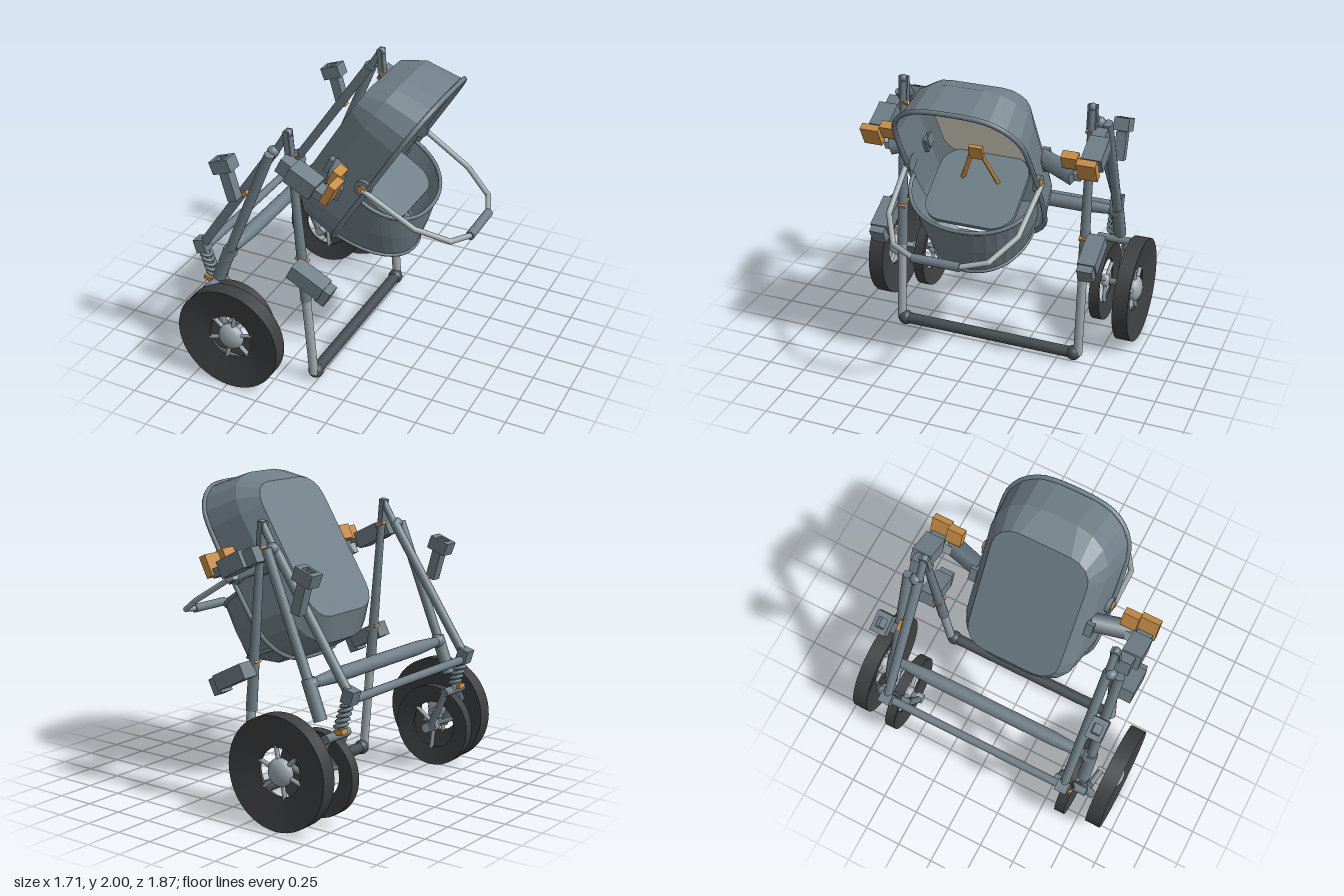
import * as THREE from 'three';
import { toCreasedNormals } from 'three/addons/utils/BufferGeometryUtils.js';

const paint = (name, color, side = THREE.FrontSide) => {
  const m = new THREE.MeshStandardMaterial({ color, side });
  m.name = name;
  return m;
};
const slate = paint('slate', 0x6f7e87, THREE.DoubleSide);
const steel = paint('light steel', 0x9ea8ad);
const rubber = paint('rubber', 0x3e3f41);
const dark = paint('dark tube', 0x454d52);
const orange = paint('orange', 0xc68c46);
const beige = paint('beige lining', 0xe9e3d2);
const V = (x, y, z) => new THREE.Vector3(x, y, z);

function add(parent, name, geo, mat, x = 0, y = 0, z = 0) {
  const m = new THREE.Mesh(geo, mat);
  m.name = name;
  m.position.set(x, y, z);
  parent.add(m);
  return m;
}
// straight rod between two points
function rod(parent, name, a, b, r, mat, r2 = r, sides = 16) {
  const d = b.clone().sub(a);
  const m = add(parent, name, new THREE.CylinderGeometry(r2, r, d.length(), sides), mat);
  m.position.copy(a).addScaledVector(d, 0.5);
  m.quaternion.setFromUnitVectors(V(0, 1, 0), d.normalize());
  return m;
}
function block(parent, name, w, h, d, x, y, z, rot, mat) {
  const m = add(parent, name, new THREE.BoxGeometry(w, h, d), mat, x, y, z);
  m.rotation.z = rot;
  return m;
}
function ball(parent, name, r, x, y, z, mat) {
  return add(parent, name, new THREE.SphereGeometry(r, 20, 14), mat, x, y, z);
}
// faceted skin through cross-sections, with one section capped
function skin(rings, closed, cap) {
  const pos = [], n = rings[0].length;
  const tri = (...p) => p.forEach(v => pos.push(v.x, v.y, v.z));
  for (let i = 0; i < rings.length - 1; i++)
    for (let j = 0; j < (closed ? n : n - 1); j++) {
      const k = (j + 1) % n, [a, b, c, d] = [rings[i][j], rings[i][k], rings[i + 1][k], rings[i + 1][j]];
      tri(a, b, c, a, c, d);
    }
  const r = rings[cap];
  const mid = r.reduce((s, p) => s.add(p), V(0, 0, 0)).divideScalar(n);
  r.forEach((p, i) => tri(mid, r[(i + 1) % n], p));
  const g = new THREE.BufferGeometry();
  g.setAttribute('position', new THREE.Float32BufferAttribute(pos, 3));
  g.computeVertexNormals();
  return g;
}
function trim(parent, name, pts, r, closed, mat) {
  const path = new THREE.CatmullRomCurve3(pts, closed, 'centripetal');
  return add(parent, name, new THREE.TubeGeometry(path, 64, r, 8, closed), mat);
}
// rounded rectangle in the plane across the tub depth
function tubRing(n, u0, u1, w, r) {
  const pts = [], h = (u1 - u0) / 2, c = (u0 + u1) / 2;
  for (let q = 0; q < 4; q++)
    for (let i = 0; i <= 4; i++) {
      const a = (q + i / 4) * Math.PI / 2;
      const sz = q === 0 || q === 3 ? 1 : -1, su = q < 2 ? 1 : -1;
      pts.push(V(n, c + su * (h - r) + r * Math.sin(a), sz * (w - r) + r * Math.cos(a)));
    }
  return pts;
}
// D-shaped section of the footwell
function dRing(bx, by, fx, fy, hw) {
  return Array.from({ length: 17 }, (_, i) => {
    const t = Math.PI * i / 16, c = Math.cos(t), s = Math.max(0, Math.sin(t)) ** 0.9;
    return V(bx + (fx - bx) * s, by + (fy - by) * s, hw * Math.sign(c) * Math.abs(c) ** 0.9);
  });
}
function roundedPlate(w, h, r, depth) {
  const s = new THREE.Shape(), x = w / 2, y = h / 2, q = Math.PI / 2;
  s.absarc(x - r, y - r, r, 0, q);
  s.absarc(r - x, y - r, r, q, 2 * q);
  s.absarc(r - x, r - y, r, 2 * q, 3 * q);
  s.absarc(x - r, r - y, r, 3 * q, 4 * q);
  return new THREE.ExtrudeGeometry(s, { depth, bevelEnabled: false, curveSegments: 8 });
}

function makeTub() {
  // local x is the tub depth, local y runs up the backrest
  const g = new THREE.Group();
  g.name = 'tub';
  g.rotation.z = -0.5586;
  const rings = [tubRing(-0.89, 0.805, 1.753, 0.32, 0.15), tubRing(-0.757, 0.67, 1.887, 0.39, 0.27),
    tubRing(-0.51, 0.68, 1.945, 0.425, 0.3)];
  add(g, 'tubShell', skin(rings, true, 0), slate);
  trim(g, 'tubRim', rings[2], 0.016, true, slate);
  add(g, 'backLining', roundedPlate(0.6, 0.73, 0.15, 0.008).rotateY(Math.PI / 2), beige, -0.79, 1.465, 0);
  add(g, 'seat', roundedPlate(0.54, 0.6, 0.14, 0.03).rotateX(Math.PI / 2), slate, -0.52, 1.15, 0);
  return g;
}
function makeFootwell() {
  const g = new THREE.Group();
  g.name = 'footwell';
  const rings = [dRing(0.2, 1.29, 0.497, 1.103, 0.42), dRing(0.1, 1.1, 0.45, 0.94, 0.385),
    dRing(0, 0.93, 0.39, 0.775, 0.325), dRing(0, 0.845, 0.16, 0.765, 0.2)];
  add(g, 'footwellShell', skin(rings, false, 3), slate);
  trim(g, 'footwellTopRim', rings[0], 0.013, false, slate);
  trim(g, 'footwellLowerRim', rings[2], 0.012, false, slate);
  return g;
}
function makeHarness() {
  const g = new THREE.Group();
  g.name = 'harness';
  block(g, 'buckle', 0.03, 0.09, 0.09, 0.18, 1.505, 0, -0.3, orange);
  for (const s of [1, -1]) rod(g, 'strap', V(0.11, 1.28, 0.12 * s), V(0.18, 1.5, 0.03 * s), 0.016, orange, 0.016, 4);
  return g;
}
function makeWheel(name, R, hole, half, hubR, spokes) {
  const g = new THREE.Group();
  g.name = name;
  const p = [[hole, -half * 0.2], [R, -half], [R, half], [hole, half * 0.2], [hole, -half * 0.2]];
  const tyre = new THREE.LatheGeometry(p.map(q => new THREE.Vector2(...q)), 48).rotateX(Math.PI / 2);
  add(g, 'tyre', toCreasedNormals(tyre, 0.5), rubber);
  ball(g, 'hub', hubR, 0, 0, 0, steel).scale.z = Math.min(1, half / hubR);
  for (let i = 0; i < spokes; i++) {
    const a = (i + 0.3) / spokes * Math.PI * 2;
    rod(g, 'spoke', V(0, 0, 0), V(Math.cos(a) * (hole + 0.01), Math.sin(a) * (hole + 0.01), 0), 0.014, steel, 0.014, 8);
  }
  return g;
}

function makeSide(s) {
  const g = new THREE.Group();
  g.name = s > 0 ? 'frontSideFrame' : 'backSideFrame';
  const P = (x, y, z) => V(x, y, z * s), tilt = -0.47;
  // telescopic leg
  rod(g, 'upperLeg', P(-0.065, 0.61, 0.64), P(-0.155, 1.76, 0.64), 0.036, slate, 0.024);
  rod(g, 'lowerLeg', P(-0.02, 0.05, 0.64), P(-0.065, 0.62, 0.64), 0.03, steel);
  ball(g, 'foot', 0.05, -0.02, 0.055, 0.61 * s, dark);
  ball(g, 'apexJoint', 0.026, -0.158, 1.775, 0.64 * s, slate);
  block(g, 'apexFork', 0.036, 0.16, 0.062, -0.158, 1.71, 0.64 * s, 0.08, slate);
  // rear struts
  rod(g, 'link', P(-0.16, 1.775, 0.64), P(-0.25, 1.63, 0.64), 0.024, slate);
  ball(g, 'strutJoint', 0.038, -0.255, 1.635, 0.66 * s, slate);
  rod(g, 'rearStrut', P(-0.25, 1.64, 0.64), P(-0.8, 0.83, 0.64), 0.032, slate, 0.03);
  rod(g, 'pushStrut', P(-0.25, 1.64, 0.715), P(-0.57, 0.86, 0.715), 0.032, slate);
  rod(g, 'strutSleeve', P(-0.555, 0.9, 0.715), P(-0.65, 0.66, 0.715), 0.042, slate);
  ball(g, 'sleeveJoint', 0.048, -0.568, 0.868, 0.7 * s, slate);
  // suspension
  block(g, 'shockMount', 0.075, 0.09, 0.08, -0.81, 0.82, 0.64 * s, 0.3, slate);
  rod(g, 'shockRod', P(-0.8, 0.8, 0.64), P(-0.735, 0.58, 0.64), 0.022, steel);
  for (let i = 0; i < 5; i++) {
    const ring = add(g, 'springCoil', new THREE.TorusGeometry(0.036, 0.012, 8, 20), slate,
      -0.787 + i * 0.011, 0.765 - i * 0.033, 0.64 * s);
    ring.rotation.set(Math.PI / 2, -0.3, 0);
  }
  block(g, 'shockClip', 0.06, 0.03, 0.06, -0.755, 0.6, 0.66 * s, -0.2, orange);
  // fork and wheels
  rod(g, 'forkCrown', P(-0.72, 0.57, 0.54), P(-0.72, 0.57, 0.77), 0.028, slate);
  rod(g, 'innerFork', P(-0.72, 0.57, 0.56), P(-0.6, 0.3, 0.56), 0.023, slate);
  rod(g, 'outerFork', P(-0.72, 0.57, 0.745), P(-0.6, 0.3, 0.745), 0.026, slate);
  rod(g, 'forkAxle', P(-0.59, 0.31, 0.56), P(-0.59, 0.31, 0.76), 0.024, slate);
  rod(g, 'forkAxleCap', P(-0.59, 0.31, 0.535), P(-0.59, 0.31, 0.585), 0.033, steel);
  rod(g, 'axleArm', P(-0.6, 0.32, 0.75), P(-0.486, 0.355, 0.775), 0.022, slate);
  rod(g, 'wheelAxle', P(-0.486, 0.355, 0.75), P(-0.486, 0.355, 0.9), 0.018, steel);
  rod(g, 'brakeLever', P(-0.69, 0.56, 0.74), P(-0.69, 0.47, 0.8), 0.028, slate);
  const big = makeWheel('largeWheel', 0.355, 0.152, 0.052, 0.088, 6);
  big.position.set(-0.481, 0.355, 0.882 * s);
  const small = makeWheel('smallWheel', 0.27, 0.155, 0.035, 0.045, 3);
  small.position.set(-0.585, 0.312, 0.645 * s);
  g.add(big, small);
  // cup clamp on the rear strut
  for (const d of [-1, 1]) {
    block(g, 'clampJaw', 0.135, 0.085, 0.022, -0.56, 1.51, (0.73 + d * 0.04) * s, 0.36, slate);
    block(g, 'clampWall', 0.035, 0.085, 0.1, -0.56 + d * 0.047, 1.51 + d * 0.018, 0.73 * s, 0.36, slate);
  }
  block(g, 'clampStem', 0.065, 0.19, 0.07, -0.52, 1.375, 0.73 * s, 0.27, slate);
  block(g, 'clampPin', 0.07, 0.03, 0.05, -0.465, 1.3, 0.67 * s, 0.5, orange);
  // seat bracket
  block(g, 'upperBracket', 0.19, 0.11, 0.13, -0.02, 1.53, 0.715 * s, tilt, slate);
  block(g, 'bracketTail', 0.1, 0.1, 0.09, -0.135, 1.58, 0.7 * s, tilt, slate);
  block(g, 'bracketTongue', 0.1, 0.055, 0.1, 0.09, 1.475, 0.715 * s, tilt, slate);
  block(g, 'outerLatch', 0.05, 0.14, 0.125, 0.165, 1.5, 0.72 * s, tilt, orange);
  block(g, 'innerLatch', 0.06, 0.1, 0.105, 0.145, 1.54, 0.605 * s, tilt, orange);
  block(g, 'latchBase', 0.06, 0.07, 0.1, 0.095, 1.43, 0.61 * s, tilt, steel);
  rod(g, 'tubArm', P(0.12, 1.425, 0.62), P(0.04, 1.475, 0.38), 0.065, slate, 0.06, 4);
  block(g, 'tubArmPlate', 0.12, 0.1, 0.05, 0.03, 1.46, 0.4 * s, tilt, slate);
  // lower bracket
  block(g, 'lowerBracket', 0.24, 0.1, 0.12, 0.0, 0.835, 0.72 * s, tilt, slate);
  block(g, 'lowerBracketHook', 0.07, 0.11, 0.1, 0.115, 0.76, 0.72 * s, tilt, slate);
  block(g, 'lowerLegClip', 0.08, 0.02, 0.06, -0.085, 0.91, 0.64 * s, tilt, orange);
  block(g, 'upperLegClip', 0.055, 0.025, 0.06, -0.145, 1.625, 0.64 * s, tilt, orange);
  // handle pivot
  rod(g, 'handlePivot', P(0.228, 1.385, 0.41), P(0.228, 1.385, 0.445), 0.055, slate);
  rod(g, 'handlePivotCap', P(0.228, 1.385, 0.44), P(0.228, 1.385, 0.46), 0.028, orange);
  // handle arm
  const path = [[0.228, 1.385, 0.45], [0.57, 1.185, 0.425], [0.76, 1.085, 0.31], [0.825, 1.057, 0.15]];
  for (let i = 0; i < 3; i++) {
    rod(g, 'handleArm', P(...path[i]), P(...path[i + 1]), 0.018, steel);
    ball(g, 'handleBend', 0.018, path[i + 1][0], path[i + 1][1], path[i + 1][2] * s, steel);
  }
  return g;
}

export function createModel() {
  const g = new THREE.Group();
  g.name = 'pushchair';
  g.add(makeTub(), makeFootwell(), makeHarness(), makeSide(1), makeSide(-1));
  rod(g, 'handleGrip', V(0.825, 1.057, -0.155), V(0.825, 1.057, 0.155), 0.029, slate);
  // cross tubes
  rod(g, 'footBar', V(-0.02, 0.055, -0.61), V(-0.02, 0.055, 0.61), 0.038, dark);
  rod(g, 'rearBar', V(-0.8, 0.79, -0.64), V(-0.8, 0.79, 0.64), 0.027, slate);
  const bar = [[0.028, -0.7], [0.036, -0.6], [0.046, -0.45], [0.046, 0.45], [0.036, 0.6], [0.028, 0.7]];
  add(g, 'middleBar', new THREE.LatheGeometry(bar.map(p => new THREE.Vector2(...p)), 20).rotateX(Math.PI / 2),
    slate, -0.57, 0.87, 0);
  return g;
}
